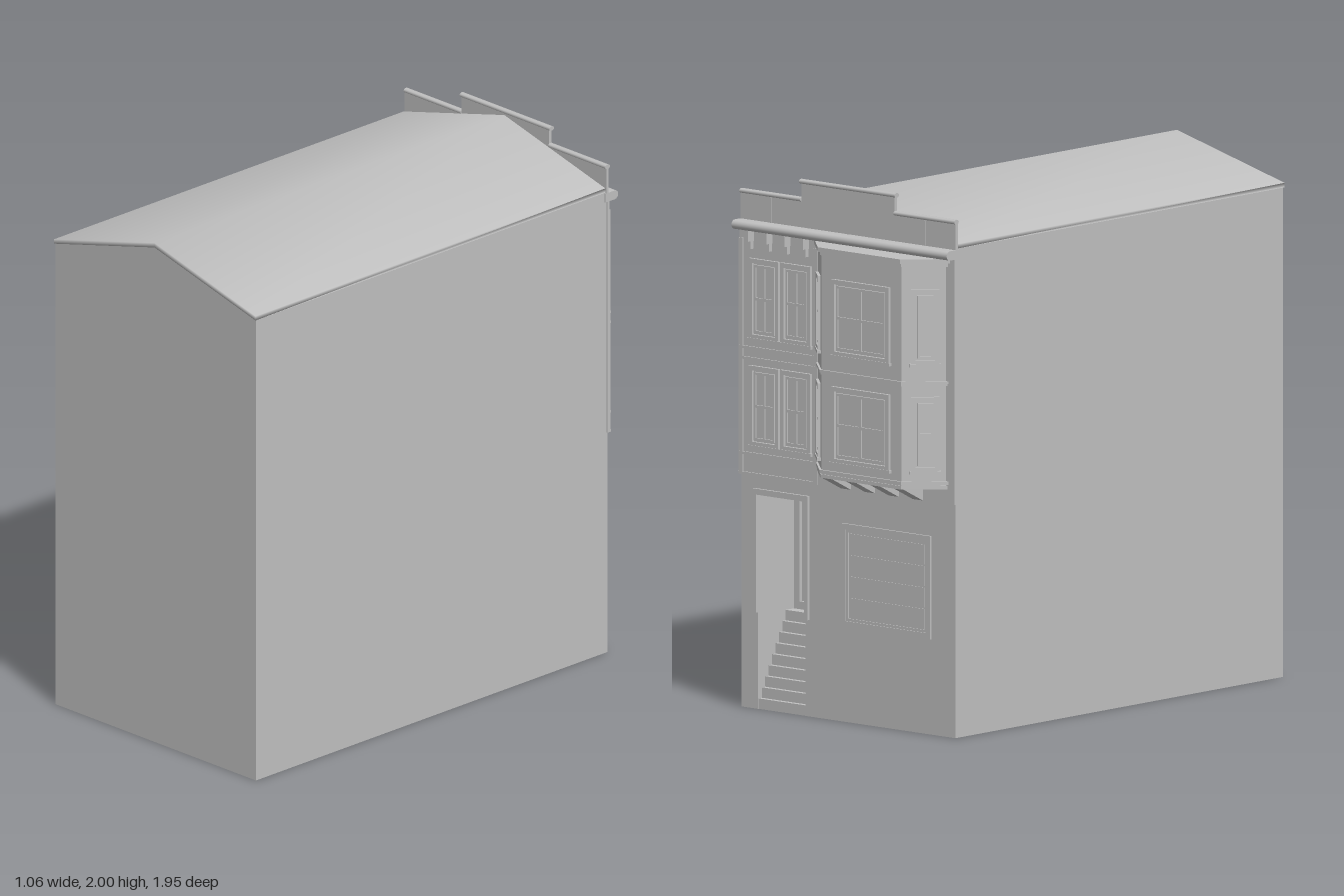
import * as THREE from 'three';
import { mergeVertices } from 'three/addons/utils/BufferGeometryUtils.js';

const stone = new THREE.MeshStandardMaterial({ color: 0xc0c0c0, side: THREE.DoubleSide });
stone.name = 'grey stone';

function add(parent, name, geometry) {
  const mesh = new THREE.Mesh(geometry, stone);
  mesh.name = name;
  parent.add(mesh);
  return mesh;
}

// Box given by its extents
function block(parent, name, x0, x1, y0, y1, z0, z1) {
  const mesh = add(parent, name, new THREE.BoxGeometry(x1 - x0, y1 - y0, z1 - z0));
  mesh.position.set((x0 + x1) / 2, (y0 + y1) / 2, (z0 + z1) / 2);
  return mesh;
}

const outline = (points) => new THREE.Shape(points.map(([x, y]) => new THREE.Vector2(x, y)));
const rect = (x0, x1, y0, y1) => [[x0, y0], [x1, y0], [x1, y1], [x0, y1]];
const extrude = (shape, depth) => new THREE.ExtrudeGeometry(shape, { depth, bevelEnabled: false });

// Horizontal slab from a plan of [x, z] points
function slab(parent, name, plan, y0, y1) {
  const geometry = extrude(outline(plan.map(([x, z]) => [x, -z])), y1 - y0);
  geometry.rotateX(-Math.PI / 2);
  add(parent, name, geometry).position.y = y0;
}

// Raised rectangular border, centred on its own origin
function border(parent, name, w, h, t, depth) {
  const shape = outline(rect(-w / 2, w / 2, -h / 2, h / 2));
  shape.holes.push(outline(rect(-w / 2 + t, w / 2 - t, -h / 2 + t, h / 2 - t)));
  return add(parent, name, extrude(shape, depth));
}

// Sash window facing local +z
function sashWindow(parent, x, y, z, w, h, columns, angle = 0) {
  const g = new THREE.Group();
  g.name = 'window';
  g.position.set(x, y, z);
  g.rotation.y = angle;
  parent.add(g);
  border(g, 'windowFrame', w, h, 0.017, 0.011);
  const iw = w - 0.046, ih = h - 0.046;
  border(g, 'sash', iw, ih, 0.009, 0.008);
  block(g, 'glass', -iw / 2, iw / 2, -ih / 2, ih / 2, 0, 0.002);
  block(g, 'meetingRail', -iw / 2, iw / 2, -0.005, 0.005, 0, 0.008);
  if (columns > 1) block(g, 'mullion', -0.004, 0.004, -ih / 2, ih / 2, 0, 0.008);
  block(g, 'windowSill', -w / 2 - 0.005, w / 2 + 0.005, -h / 2 - 0.008, -h / 2 + 0.004, 0, 0.014);
}

function buildShell(house) {
  // Side walls and gabled rear wall; the underside stays open
  for (const s of [-1, 1]) {
    const wall = add(house, 'sideWall', new THREE.PlaneGeometry(1.81, 1.83));
    wall.rotation.y = s * Math.PI / 2;
    wall.position.set(s * 0.527, 0.915, 0.065);
  }
  const gable = [[-0.527, 0], [0.527, 0], [0.527, 1.825], [0, 1.965], [-0.527, 1.825]];
  add(house, 'gableWall', new THREE.ShapeGeometry(outline(gable))).position.z = 0.97;

  // Softly shaded pitched roof
  const section = [[-0.53, 1.825], [0, 1.962], [0.53, 1.825], [0.53, 1.842], [0, 1.98], [-0.53, 1.842]];
  let roof = extrude(outline(section), 1.8);
  roof.deleteAttribute('uv');
  roof.deleteAttribute('normal');
  roof = mergeVertices(roof);
  roof.computeVertexNormals();
  add(house, 'roof', roof).position.z = -0.825;
}

function buildEntrance(f) {
  const x0 = -0.445, x1 = -0.21;
  // Recess behind the opening
  for (const x of [x0, x1]) {
    const side = add(f, 'recessSide', new THREE.PlaneGeometry(0.2, 0.8));
    side.rotation.y = x === x0 ? Math.PI / 2 : -Math.PI / 2;
    side.position.set(x, 0.4, 0.74);
  }
  block(f, 'recessBack', x0, x1, 0.34, 0.8, 0.638, 0.642);
  block(f, 'recessCeiling', x0, x1, 0.798, 0.802, 0.64, 0.84);
  // Steep flight of steps
  const steps = 9, rise = 0.35 / steps, run = 0.17 / steps;
  for (let i = 0; i < steps; i++) {
    const front = 0.838 - i * run;
    const y = i * rise;
    block(f, 'step', x0, x1, y, y + rise, i === steps - 1 ? 0.64 : front - run - 0.004, front);
  }
  // Front door
  const door = border(f, 'doorFrame', 0.2, 0.42, 0.022, 0.012);
  door.position.set((x0 + x1) / 2, 0.57, 0.642);
  block(f, 'doorPanel', x0 + 0.055, x1 - 0.055, 0.42, 0.72, 0.642, 0.648);
  // Trim round the opening
  for (const x of [x0 - 0.018, x1]) block(f, 'doorTrim', x, x + 0.018, 0.36, 0.82, 0.838, 0.85);
  block(f, 'doorLintel', x0 - 0.018, x1 + 0.018, 0.8, 0.822, 0.838, 0.85);
}

function buildGarage(f) {
  border(f, 'garageFrame', 0.44, 0.385, 0.022, 0.01).position.set(0.19, 0.548, 0.838);
  border(f, 'garageInnerFrame', 0.396, 0.341, 0.01, 0.006).position.set(0.19, 0.548, 0.838);
  for (let i = 0; i < 4; i++) {
    const y = 0.39 + i * 0.08;
    block(f, 'garagePanel', 0.005, 0.375, y, y + 0.075, 0.838, 0.843);
  }
}

function buildBay(f) {
  // Plan widened by o on its three faces
  const plan = (o) => [[-0.15 - 1.4 * o, 0.84], [-0.025 - 0.4 * o, 0.961 + o],
    [0.37 + 0.4 * o, 0.961 + o], [0.495 + 1.4 * o, 0.84]];
  slab(f, 'bayBody', plan(0), 0.935, 1.775);
  for (const [y0, y1, o] of [[0.925, 0.938, 0.004], [0.942, 0.955, 0.008], [1.31, 1.318, 0.004],
    [1.318, 1.328, 0.008], [1.755, 1.768, 0.006], [1.768, 1.785, 0.014]]) {
    slab(f, 'bayMoulding', plan(o), y0, y1);
  }
  // Wedge brackets beneath the bay
  for (let i = 0; i < 4; i++) {
    const wedge = extrude(outline([[0, 0.87], [0.115, 0.928], [0, 0.928]]), 0.05);
    wedge.rotateY(-Math.PI / 2);
    add(f, 'bayBracket', wedge).position.set(0.02 + i * 0.118, 0, 0.848);
  }
  const angle = Math.atan2(0.121, 0.125);
  for (const y of [1.13, 1.53]) {
    sashWindow(f, 0.1725, y, 0.961, 0.285, 0.285, 2);
    sashWindow(f, -0.0875, y, 0.9005, 0.105, 0.28, 1, -angle);
    sashWindow(f, 0.4325, y, 0.9005, 0.105, 0.28, 1, angle);
  }
}

function buildUpperFront(f) {
  block(f, 'upperFacing', -0.53, 0.53, 0.87, 1.79, 0.835, 0.847);
  for (const y of [1.13, 1.53]) {
    for (const x of [-0.403, -0.247]) sashWindow(f, x, y, 0.847, 0.147, 0.3, 2);
  }
  for (const y of [0.87, 0.945, 1.3, 1.34]) block(f, 'beltCourse', -0.53, -0.15, y, y + 0.01, 0.845, 0.853);
  // Narrow corner strips and cornice brackets
  for (const x of [-0.53, -0.165]) block(f, 'cornerStrip', x, x + 0.02, 0.87, 1.75, 0.845, 0.852);
  for (let i = 0; i < 4; i++) {
    const x = -0.47 + i * 0.09;
    block(f, 'corniceBracket', x - 0.012, x + 0.012, 1.745, 1.79, 0.845, 0.88);
    block(f, 'corniceBracketFoot', x - 0.009, x + 0.009, 1.715, 1.747, 0.845, 0.863);
  }
  // Round-nosed cornice
  block(f, 'cornice', -0.53, 0.53, 1.785, 1.82, 0.825, 0.874);
  const nose = add(f, 'corniceNose', new THREE.CylinderGeometry(0.0175, 0.0175, 1.06, 16));
  nose.rotation.z = Math.PI / 2;
  nose.position.set(0, 1.8025, 0.874);
  // Stepped parapet with rounded caps
  for (const [a, b, top] of [[-0.53, -0.23, 1.925], [-0.23, 0.23, 1.992], [0.23, 0.53, 1.925]]) {
    block(f, 'parapet', a, b, 1.79, top - 0.005, 0.83, 0.842);
    block(f, 'parapetSeam', (a + b) / 2 - 0.003, (a + b) / 2 + 0.003, 1.82, top - 0.01, 0.84, 0.844);
    const cap = add(f, 'parapetCap', new THREE.CylinderGeometry(0.009, 0.009, b - a + 0.012 * (top > 1.95), 10));
    cap.rotation.z = Math.PI / 2;
    cap.scale.z = 1.4;
    cap.position.set((a + b) / 2, top - 0.001, 0.837);
  }
}

export function createModel() {
  const house = new THREE.Group();
  house.name = 'townhouse';
  buildShell(house);

  // Street front, built facing +z and then turned to the rear
  const front = new THREE.Group();
  front.name = 'streetFront';
  front.rotation.y = Math.PI;
  house.add(front);
  const wall = outline([[-0.527, 0], [-0.445, 0], [-0.445, 0.8], [-0.21, 0.8], [-0.21, 0],
    [0.527, 0], [0.527, 1.8], [-0.527, 1.8]]);
  add(front, 'streetWall', new THREE.ShapeGeometry(wall)).position.z = 0.84;
  buildEntrance(front);
  buildGarage(front);
  buildUpperFront(front);
  buildBay(front);
  return house;
}
